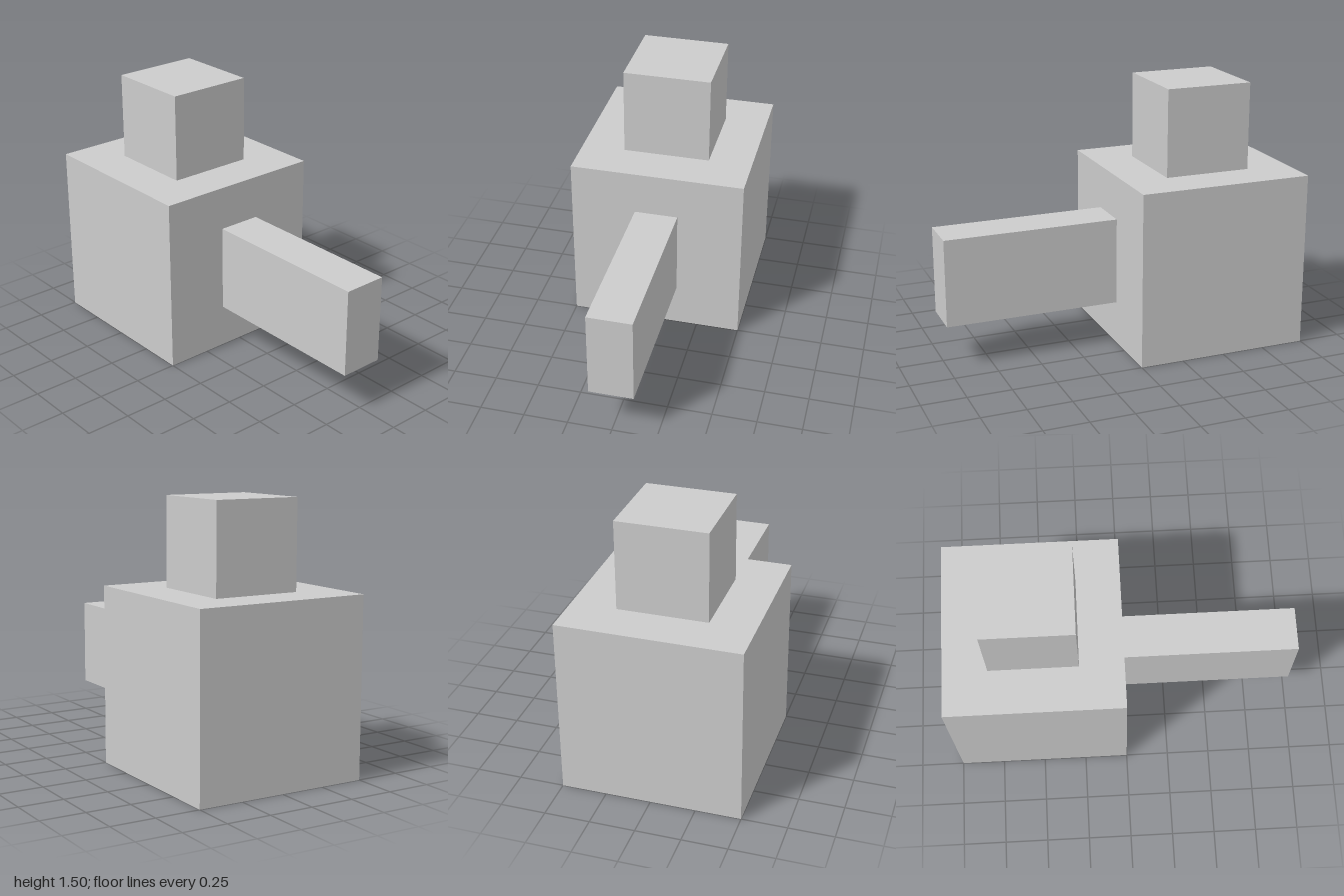
import * as THREE from 'three';

export function createModel() {
  const model = new THREE.Group();
  const material = new THREE.MeshStandardMaterial({ color: 0xcccccc, flatShading: true });

  const addBox = (name, size, position) => {
    const mesh = new THREE.Mesh(new THREE.BoxGeometry(...size), material);
    mesh.name = name;
    mesh.position.set(...position);
    model.add(mesh);
  };

  // Large cube standing on the ground
  addBox('body', [1, 1, 1], [-0.5, 0.5, 0]);
  // Half-size cube centred on top of the body
  addBox('head', [0.5, 0.5, 0.5], [-0.5, 1.25, 0]);
  // Flat bar reaching out from the body's left side
  addBox('arm', [1, 0.5, 0.25], [0.5, 0.5, 0]);

  return model;
}
